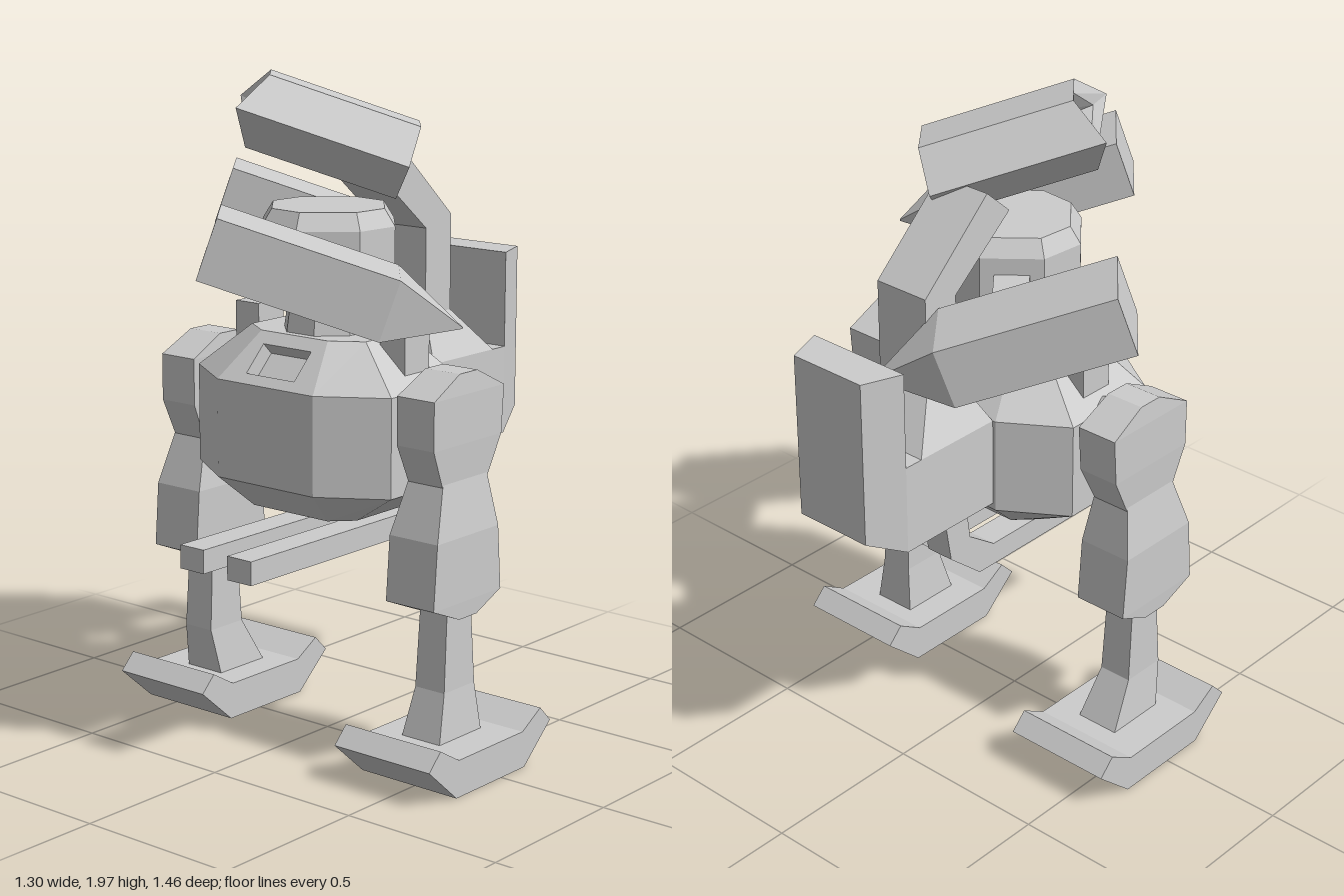
import * as THREE from 'three';

const material = new THREE.MeshStandardMaterial({ color: 0xcccccc, flatShading: true, side: THREE.DoubleSide });

function add(parent, name, geometry, x = 0, y = 0, z = 0) {
  const mesh = new THREE.Mesh(geometry, material);
  mesh.name = name;
  mesh.position.set(x, y, z);
  parent.add(mesh);
  return mesh;
}

const box = (w, h, d) => new THREE.BoxGeometry(w, h, d);

// Horizontal outline: a rectangle, or an octagon when corner cuts are given
function plan(y, hx, hz, z = 0, cx = 0, cz = cx) {
  const quad = [[hx, hz], [hx, -hz], [-hx, -hz], [-hx, hz]];
  const oct = [[hx, hz - cz], [hx, cz - hz], [hx - cx, -hz], [cx - hx, -hz],
    [-hx, cz - hz], [-hx, hz - cz], [cx - hx, hz], [hx - cx, hz]];
  return (cx ? oct : quad).map(([px, pz]) => new THREE.Vector3(px, y, pz + z));
}

// Skins a stack of outlines and caps both ends; open = [level, side] leaves one face out
function loft(rings, open = [-1, -1]) {
  const pts = [], n = rings[0].length;
  for (let j = 0; j < rings.length - 1; j++) {
    for (let i = 0; i < n; i++) {
      if (j === open[0] && i === open[1]) continue;
      const k = (i + 1) % n, a = rings[j], b = rings[j + 1];
      pts.push(a[i], a[k], b[k], a[i], b[k], b[i]);
    }
  }
  const first = rings[0], last = rings[rings.length - 1];
  for (let i = 1; i < n - 1; i++) {
    pts.push(first[0], first[i + 1], first[i], last[0], last[i], last[i + 1]);
  }
  const geometry = new THREE.BufferGeometry().setFromPoints(pts);
  geometry.computeVertexNormals();
  return geometry;
}

// Side profile of [z, y] points, extruded to a width centred on x = 0
function sideProfile(points, width) {
  const shape = new THREE.Shape(points.map(([z, y]) => new THREE.Vector2(z, y)));
  return new THREE.ExtrudeGeometry(shape, { depth: width, bevelEnabled: false })
    .rotateY(-Math.PI / 2).translate(width / 2, 0, 0);
}

function buildBody(root) {
  const body = new THREE.Group();
  body.name = 'body';
  add(body, 'hull', loft([
    plan(0.72, 0.2, 0.17, 0, 0.06),
    plan(0.82, 0.365, 0.28, 0, 0.185, 0.12),
    plan(1.11, 0.365, 0.28, 0, 0.185, 0.12),
    plan(1.24, 0.215, 0.15, 0, 0.09, 0.06),
  ], [2, 6]));

  // Sloped front panel with a slot
  const panel = new THREE.Shape([[-0.18, 0], [0.18, 0], [0.125, 0.184], [-0.125, 0.184]]
    .map(p => new THREE.Vector2(...p)));
  panel.holes.push(new THREE.Path([[-0.09, 0.035], [-0.09, 0.14], [0.09, 0.14], [0.09, 0.035]]
    .map(p => new THREE.Vector2(...p))));
  const panelGeometry = new THREE.ExtrudeGeometry(panel, { depth: 0.05, bevelEnabled: false })
    .translate(0, 0, -0.05).rotateX(-Math.PI / 4);
  add(body, 'frontPanel', panelGeometry, 0, 1.11, 0.28);
  add(body, 'slotBack', box(0.2, 0.12, 0.01).translate(0, 0.088, -0.052).rotateX(-Math.PI / 4), 0, 1.11, 0.28);

  add(body, 'neck', new THREE.CylinderGeometry(0.12, 0.14, 0.14, 8).rotateY(Math.PI / 8), 0, 1.27, 0);
  for (const s of [-1, 1]) {
    add(body, 'shoulderPost', box(0.09, 0.3, 0.11), s * 0.275, 1.14, -0.01);
    // Gun pipe running under the hull and bending up into the pack
    add(body, 'lowerGun', sideProfile([[0.49, 0.6], [-0.3, 0.6], [-0.42, 0.7], [-0.45, 0.88],
      [-0.36, 0.88], [-0.34, 0.74], [-0.24, 0.67], [0.49, 0.67]], 0.09), s * 0.09, 0, 0);
  }
  root.add(body);
}

function buildPack(root) {
  const pack = new THREE.Group();
  pack.name = 'backpack';
  add(pack, 'packBase', box(0.34, 0.27, 0.42), 0, 0.975, -0.42);
  add(pack, 'packShoulder', loft([plan(1.11, 0.17, 0.145, -0.425), plan(1.24, 0.09, 0.06, -0.4)]));
  // Rear fin, narrower towards the back and chamfered below
  const fin = box(0.34, 0.56, 0.12);
  const p = fin.attributes.position;
  for (let i = 0; i < p.count; i++) {
    if (p.getZ(i) > 0) continue;
    p.setX(i, p.getX(i) * 0.74);
    if (p.getY(i) < 0) p.setY(i, -0.22);
  }
  add(pack, 'rearFin', fin, 0, 1.12, -0.69);
  add(pack, 'gunMast', sideProfile([[-0.34, 1.2], [-0.34, 1.5], [-0.12, 1.68], [-0.21, 1.76],
    [-0.46, 1.53], [-0.46, 1.2]], 0.18));
  root.add(pack);
}

// Head, twin cannons and top gun, turned together
function buildTurret(root) {
  const turret = new THREE.Group();
  turret.name = 'turret';
  turret.rotation.y = -0.873;
  const pitch = -0.33;

  add(turret, 'head', loft([
    plan(1.32, 0.17, 0.17, 0, 0.1), plan(1.38, 0.19, 0.19, 0, 0.1),
    plan(1.55, 0.19, 0.19, 0, 0.1), plan(1.6, 0.16, 0.16, 0, 0.08),
  ]));

  for (const s of [-1, 1]) {
    add(turret, 'cannonStrut', box(0.27, 0.1, 0.1), s * 0.28, 1.45, 0);
    // Square cannon with a pointed rear end
    const cannon = loft([plan(-0.465, 0.002, 0.002), plan(-0.255, 0.128, 0.0875), plan(0.255, 0.128, 0.0875)])
      .rotateX(Math.PI / 2);
    add(turret, 'cannon', cannon, s * 0.506, 1.489, 0.076).rotation.x = pitch;
  }

  // Six-sided gun with two side prongs around a hollow muzzle
  const hex = (z, scale, prong = 0) => [[1, 0], [0.45, -1], [-0.45, -1], [-1, 0], [-0.45, 1], [0.45, 1]]
    .map(([x, y]) => new THREE.Vector3(x * 0.175 * scale, z + (y ? 0 : prong), y * 0.108 * scale));
  const gun = loft([hex(-0.25, 1), hex(0.2, 1, 0.06), hex(0.19, 0.7, 0.03), hex(0.08, 0.5)])
    .rotateX(Math.PI / 2);
  add(turret, 'topGun', gun, 0, 1.81, 0.01).rotation.x = pitch;

  root.add(turret);
}

function buildLeg(root, side) {
  const leg = new THREE.Group();
  leg.name = side > 0 ? 'leftLeg' : 'rightLeg';
  leg.position.x = side * 0.45;
  add(leg, 'hipJoint', new THREE.CylinderGeometry(0.08, 0.12, 0.12, 8).rotateZ(side * Math.PI / 2),
    -side * 0.1, 1.04, 0);
  add(leg, 'thigh', loft([
    plan(0.86, 0.06, 0.1, 0.01), plan(0.98, 0.065, 0.155, 0.005),
    plan(1.12, 0.065, 0.16, 0), plan(1.18, 0.06, 0.04, 0),
  ]));
  add(leg, 'shin', loft([
    plan(0.48, 0.083, 0.04, 0.02), plan(0.53, 0.085, 0.155, 0.025),
    plan(0.72, 0.085, 0.14, 0.025), plan(0.88, 0.06, 0.1, 0.01),
  ]));
  const footZ = side > 0 ? 0.03 : -0.045;
  add(leg, 'ankle', loft([
    plan(0.1, 0.07, 0.1, footZ), plan(0.26, 0.052, 0.07, 0.015), plan(0.5, 0.048, 0.055, 0.015),
  ]));
  // Boat-shaped foot with raised toe and heel
  add(leg, 'foot', sideProfile([[0.16, 0.01], [0.285, 0.12], [0.235, 0.17], [0.15, 0.12],
    [-0.15, 0.12], [-0.235, 0.17], [-0.285, 0.12], [-0.16, 0.01]], 0.34), side * 0.01, 0, footZ);
  root.add(leg);
}

export function createModel() {
  const model = new THREE.Group();
  model.name = 'walkerRobot';
  // Everything is symmetric about this slightly shifted core
  const core = new THREE.Group();
  core.name = 'core';
  core.position.set(0.02, 0, 0.02);
  buildBody(core);
  buildPack(core);
  buildTurret(core);
  buildLeg(core, 1);
  buildLeg(core, -1);
  model.add(core);
  return model;
}
